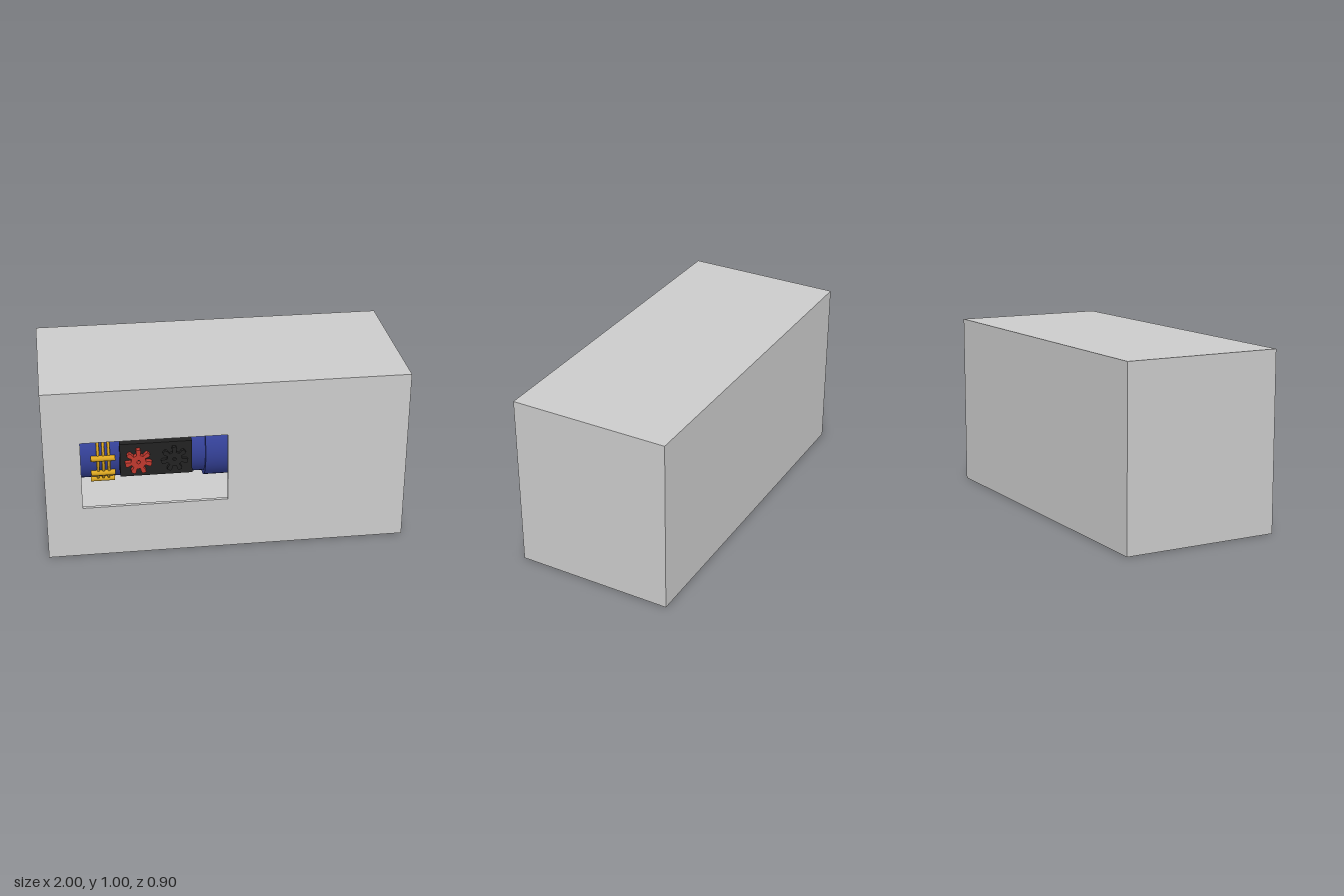
import * as THREE from 'three';

const mat = (color, side = THREE.FrontSide) => new THREE.MeshStandardMaterial({ color, side });

function add(parent, name, geometry, material, x = 0, y = 0, z = 0) {
  const mesh = new THREE.Mesh(geometry, material);
  mesh.name = name;
  mesh.position.set(x, y, z);
  parent.add(mesh);
  return mesh;
}

// Box without its front face, and without its back face if asked
function openBox(w, h, d, keepBack = true) {
  const g = new THREE.BoxGeometry(w, h, d);
  const index = Array.from(g.index.array);
  g.setIndex([...index.slice(0, 24), ...(keepBack ? index.slice(30) : [])]);
  g.clearGroups();
  return g;
}

function rectangle(T, x0, y0, x1, y1) {
  return new T([[x0, y0], [x1, y0], [x1, y1], [x0, y1]].map(p => new THREE.Vector2(...p)));
}

// Flat panel pierced by the window
function panel(x0, y0, x1, y1) {
  const shape = rectangle(THREE.Shape, x0, y0, x1, y1);
  shape.holes.push(rectangle(THREE.Path, -0.8, 0.3, 0, 0.7));
  return new THREE.ShapeGeometry(shape);
}

// Toothed wheel with a small bore
function gear(teeth, root, tip, depth) {
  const points = [];
  const step = (2 * Math.PI) / teeth;
  for (let i = 0; i < teeth; i++) {
    for (const [r, f] of [[root, -0.25], [tip * 0.87, -0.24], [tip, -0.15], [tip, 0.15], [tip * 0.87, 0.24], [root, 0.25]]) {
      const a = Math.PI / 2 + (i + f) * step;
      points.push(new THREE.Vector2(r * Math.cos(a), r * Math.sin(a)));
    }
  }
  const shape = new THREE.Shape(points);
  shape.holes.push(new THREE.Path().absarc(0, 0, 0.01, 0, Math.PI * 2, true));
  return new THREE.ExtrudeGeometry(shape, { depth, bevelEnabled: false, curveSegments: 8 });
}

export function createModel() {
  const root = new THREE.Group();
  root.name = 'housedMachine';
  const grey = mat(0xcccccc);
  const greyInside = mat(0xcccccc, THREE.BackSide);
  const blue = mat(0x36439c);
  const gold = mat(0xdaa520);
  const black = mat(0x222222);
  const red = mat(0xc0382e);

  // Hollow housing with a window in the front
  const housing = new THREE.Group();
  housing.name = 'housing';
  root.add(housing);
  add(housing, 'outerWalls', openBox(2, 1, 0.9), grey, 0, 0.5, 0);
  add(housing, 'frontPanel', panel(-1, 0, 1, 1), grey, 0, 0, 0.45);
  add(housing, 'frontPanelInside', panel(-0.8, 0.1, 0.8, 0.9), greyInside, 0, 0, 0.43);
  add(housing, 'cavity', openBox(1.6, 0.8, 0.83), greyInside, 0, 0.5, 0.015);
  add(housing, 'windowEdge', openBox(0.8, 0.4, 0.02, false), greyInside, -0.4, 0.5, 0.44);

  // Machine inside, lying along x
  const machine = new THREE.Group();
  machine.name = 'machine';
  machine.position.set(0, 0.5, 0.05);
  root.add(machine);
  const drum = (r, x0, x1) => new THREE.CylinderGeometry(r, r, x1 - x0, 48)
    .rotateZ(Math.PI / 2).translate((x0 + x1) / 2, 0, 0);
  add(machine, 'drum', drum(0.2, -0.8, -0.1), blue);
  add(machine, 'wideDrum', drum(0.225, -0.1, 0.6), blue);

  // Gold cage: twelve bars on three hoops
  const cage = new THREE.Group();
  cage.name = 'cage';
  machine.add(cage);
  for (let i = 0; i < 12; i++) {
    const a = (i * Math.PI) / 6;
    add(cage, 'cageBar', drum(0.016, -0.74, -0.605), gold, 0, 0.21 * Math.sin(a), 0.21 * Math.cos(a));
  }
  for (const x of [-0.7, -0.67, -0.64]) {
    add(cage, 'cageHoop', new THREE.TorusGeometry(0.205, 0.008, 8, 48).rotateY(Math.PI / 2), gold, x);
  }

  // Gear plate on the front of the drum
  add(machine, 'gearPlate', new THREE.BoxGeometry(0.4, 0.2, 0.1), black, -0.38, 0, 0.2);
  add(machine, 'redGear', gear(7, 0.042, 0.075, 0.03), red, -0.48, 0, 0.25);
  add(machine, 'blackGear', gear(7, 0.042, 0.075, 0.02), black, -0.28, 0, 0.25);

  return root;
}
